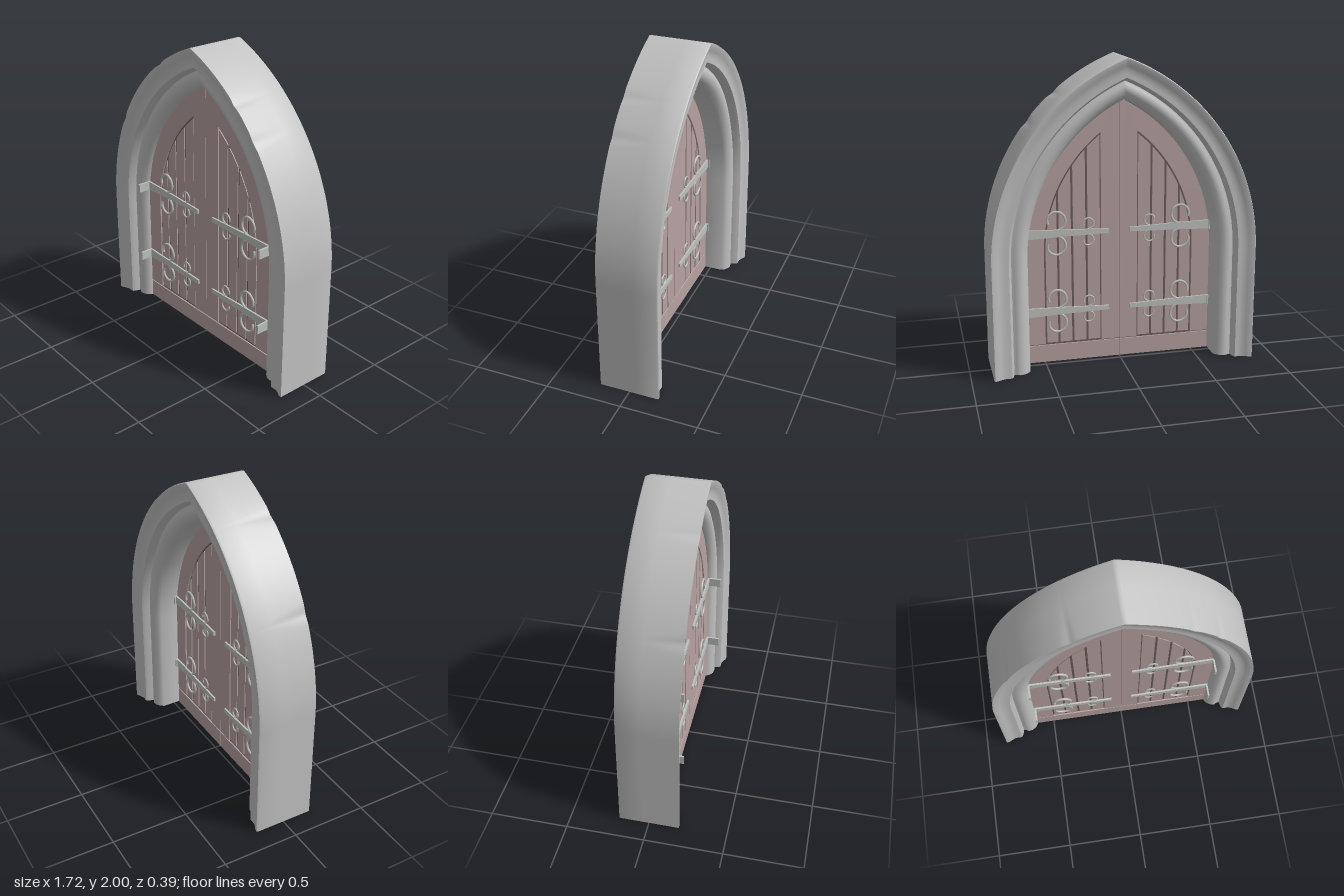
import * as THREE from 'three';
import { toCreasedNormals } from 'three/addons/utils/BufferGeometryUtils.js';

const SPRING = 0.75;  // height where the arch leaves the jambs
const C = 0.48;       // arc centre lies this far beyond the middle
const DOOR_Z = 0.06;  // the thin door stands forward of the middle of the wall

const stone = new THREE.MeshStandardMaterial({ color: 0xc2c2c2 });
stone.name = 'stone';
const wood = new THREE.MeshStandardMaterial({ color: 0xb7a1a1 });
wood.name = 'wood';
const grooveWood = new THREE.MeshStandardMaterial({ color: 0x6c5c5c });
grooveWood.name = 'grooveWood';
const iron = new THREE.MeshStandardMaterial({ color: 0xbec2be });
iron.name = 'iron';

function add(parent, name, geometry, material) {
  const mesh = new THREE.Mesh(geometry, material);
  mesh.name = name;
  parent.add(mesh);
  return mesh;
}

// Points on the pointed arch of half-width w, running from x1 up to x0
function archPoints(w, x0, x1, n = 24) {
  const R = w + C;
  const a = Math.acos(Math.min(1, (x1 + C) / R));
  const b = Math.acos((x0 + C) / R);
  return Array.from({ length: n + 1 }, (_, i) => {
    const t = a + (b - a) * i / n;
    return [R * Math.cos(t) - C, SPRING + R * Math.sin(t)];
  });
}

// Upright prism of half-thickness d; side = -1 mirrors it
function prism(points, side, d) {
  const shape = new THREE.Shape(points.map(([x, y]) => new THREE.Vector2(x * side, y)));
  return new THREE.ExtrudeGeometry(shape, { depth: 2 * d, bevelEnabled: false }).translate(0, 0, -d);
}

// Moulded surround: one closed profile swept up the jamb, over the point and down
function buildSurround(group) {
  const half = [[0.84, 0.193], [0.815, 0.18], [0.79, 0.17], [0.765, 0.17], [0.745, 0.17],
    [0.735, 0.155], [0.725, 0.118], [0.71, 0.122], [0.69, 0.132], [0.66, 0.126],
    [0.635, 0.11], [0.618, 0.085]];
  const profile = [[0.86, 0.195], ...half,
    ...half.slice().reverse().map(([w, z]) => [w, -z]),
    [0.855, -0.195], [0.86, -0.185], [0.86, -0.04], [0.86, 0.04], [0.86, 0.12]];

  // Shallow chips in the front outer edge, given by their x position
  const chips = [-0.71, -0.31, 0.40, 0.57].map(x => ({
    side: Math.sign(x), angle: Math.acos((Math.abs(x) + C) / (0.86 + C)),
  }));

  const N = 96;
  const stations = [[1, -1]];
  for (let i = 0; i <= N; i++) stations.push([1, i / N]);
  for (let i = N - 1; i >= 0; i--) stations.push([-1, i / N]);
  stations.push([-1, -1]);

  const pos = [], index = [], P = profile.length;
  for (const [side, t] of stations) {
    for (const [w, z] of profile) {
      const R = w + C;
      const angle = Math.max(0, t) * Math.acos(C / R);
      let r = R;
      if (w === 0.86 && z > -0.04 && t > 0) {
        const grow = (z + 0.04) / 0.235;
        for (const chip of chips) {
          if (chip.side !== side) continue;
          const off = Math.abs(angle - chip.angle) * R / (0.055 * grow);
          r -= 0.008 * grow * Math.max(0, 1 - off);
        }
      }
      pos.push(side * (r * Math.cos(angle) - C), t < 0 ? 0 : SPRING + r * Math.sin(angle), z);
    }
  }
  for (let j = 0; j < stations.length - 1; j++) {
    for (let i = 0; i < P; i++) {
      const k = (i + 1) % P;
      const a = j * P + i, b = a + P, c = j * P + k, d = c + P;
      index.push(a, b, c, c, b, d);
    }
  }
  const geo = new THREE.BufferGeometry();
  geo.setAttribute('position', new THREE.Float32BufferAttribute(pos, 3));
  geo.setIndex(index);
  add(group, 'archSurround', toCreasedNormals(geo, 0.95), stone);

  // Undersides of the two jambs
  for (const side of [1, -1]) {
    const shape = new THREE.Shape(profile.map(([w, z]) => new THREE.Vector2(w * side, z)));
    add(group, 'jambFoot', new THREE.ShapeGeometry(shape).rotateX(Math.PI / 2), stone);
  }
}

// One door leaf: stile frame, bottom rail, planks over a darker core
function buildLeaf(side) {
  const leaf = new THREE.Group();
  leaf.name = side > 0 ? 'leftLeaf' : 'rightLeaf';
  const foot = 0.125, seam = 0.0015, rim = 0.616, gap = 0.007;

  const frame = [[0.12, foot], [seam, foot], ...archPoints(rim, seam, rim).reverse(),
    [rim, foot], [0.495, foot], ...archPoints(0.495, 0.12, 0.495)];
  add(leaf, 'leafFrame', prism(frame, side, 0.02), wood);
  add(leaf, 'bottomRail',
    prism([[seam, 0], [rim, 0], [rim, 0.117], [seam, 0.117]], side, 0.02), wood);
  add(leaf, 'leafCore',
    prism([[seam, 0.01], [rim, 0.01], ...archPoints(rim, seam, rim)], side, 0.01), grooveWood);

  const edges = [0.12, 0.215, 0.31, 0.403, 0.495];
  for (let i = 0; i < 4; i++) {
    const x0 = edges[i] + gap, x1 = Math.min(edges[i + 1] - gap, 0.484);
    add(leaf, 'plank',
      prism([[x0, foot + gap], [x1, foot + gap], ...archPoints(0.484, x0, x1, 10)], side, 0.017), wood);
  }
  return leaf;
}

// Strap hinge with a bent end, long on the front, and two pairs of open scrolls
function buildHinge(side, face) {
  const hinge = new THREE.Group();
  hinge.name = 'strapHinge';
  const strap = [[0.07, -0.014], [0.2, -0.018], [0.35, -0.02], [0.612, -0.03],
    [0.612, 0.03], [0.35, 0.024], [0.2, 0.018], [0.07, 0.014]];
  add(hinge, 'strap', prism(strap, side, 0.006), iron).position.z = face * 0.026;
  const reach = face > 0 ? 0.09 : 0.02;
  add(hinge, 'hingeBracket', new THREE.BoxGeometry(0.012, 0.06, reach), iron)
    .position.set(side * 0.608, 0, face * (0.022 + reach / 2));

  for (const [x, r, tube] of [[0.415, 0.066, 0.008], [0.205, 0.038, 0.0055]]) {
    for (const up of [1, -1]) {
      // Scroll springs from the strap and curls back with a shrinking radius
      const points = Array.from({ length: 15 }, (_, i) => {
        const t = i / 14;
        const a = -Math.PI / 2 - t * 5.1;
        const rr = r * (1 - 0.18 * t);
        return new THREE.Vector3(
          side * (x + rr * Math.cos(a)), up * (r + 0.018 + rr * Math.sin(a)), face * 0.022);
      });
      const curve = new THREE.CatmullRomCurve3(points);
      add(hinge, 'scroll', new THREE.TubeGeometry(curve, 28, tube, 6), iron);
    }
  }
  return hinge;
}

export function createModel() {
  const model = new THREE.Group();
  model.name = 'archedDoor';
  buildSurround(model);
  for (const side of [1, -1]) {
    const leaf = buildLeaf(side);
    leaf.position.z = DOOR_Z;
    for (const face of [1, -1]) {
      for (const y of [0.35, 0.875]) {
        const hinge = buildHinge(side, face);
        hinge.position.y = y;
        leaf.add(hinge);
      }
    }
    model.add(leaf);
  }
  return model;
}
